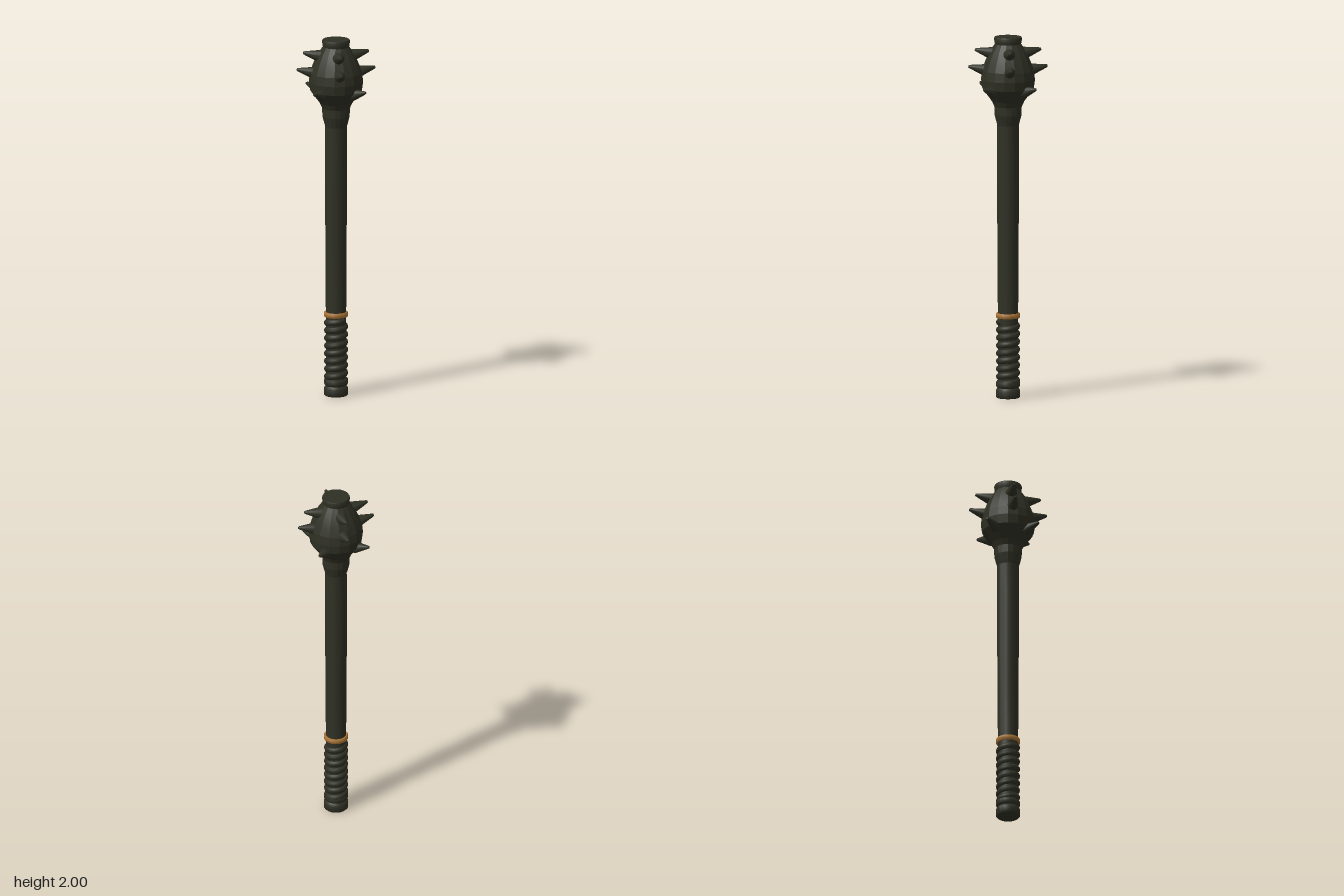
import * as THREE from 'three';
import { toCreasedNormals } from 'three/addons/utils/BufferGeometryUtils.js';

export function createModel() {
  const model = new THREE.Group();
  const iron = new THREE.MeshStandardMaterial({ color: 0x2f3024 });
  iron.name = 'darkIron';
  const brass = new THREE.MeshStandardMaterial({ color: 0xa87435 });
  brass.name = 'brass';

  const add = (name, geometry, material = iron, parent = model) => {
    const mesh = new THREE.Mesh(geometry, material);
    mesh.name = name;
    parent.add(mesh);
    return mesh;
  };
  // Turned part from [radius, height] pairs listed from bottom to top
  const turned = (points, sides, crease) => toCreasedNormals(
    new THREE.LatheGeometry(points.map(([r, y]) => new THREE.Vector2(r, y)), sides, Math.PI / sides), crease);

  // Faceted head with a socket below and a flat cap on top
  add('head', turned([
    [0, 1.5], [0.056, 1.5], [0.066, 1.535], [0.075, 1.57], [0.076, 1.615], [0.09, 1.645],
    [0.142, 1.715], [0.149, 1.765], [0.143, 1.815], [0.126, 1.865], [0.1, 1.92], [0.07, 1.965],
  ], 16, 0.2));
  add('headCap', turned([
    [0.068, 1.95], [0.075, 1.972], [0.076, 1.994], [0.073, 2], [0, 2],
  ], 32, 0.7));

  // Long shaft
  add('shaft', turned([
    [0.056, 0.44], [0.057, 0.8], [0.06, 1.05], [0.06, 1.3], [0.059, 1.512], [0, 1.512],
  ], 24, 0.7));

  // Blunt spikes: one tier on the axes, two tiers on the diagonals
  const spikes = new THREE.Group();
  spikes.name = 'spikes';
  model.add(spikes);
  const tiers = [
    { base: [0.115, 1.705], tip: [0.203, 1.728], radius: 0.034, turn: 0 },
    { base: [0.115, 1.815], tip: [0.217, 1.839], radius: 0.036, turn: Math.PI / 4 },
    { base: [0.085, 1.909], tip: [0.182, 1.932], radius: 0.036, turn: Math.PI / 4 },
  ];
  const up = new THREE.Vector3(0, 1, 0);
  for (const { base, tip, radius, turn } of tiers) {
    const length = Math.hypot(tip[0] - base[0], tip[1] - base[1]);
    const geometry = turned([
      [0, 0], [radius, 0], [0.009, length - 0.005], [0.006, length], [0, length],
    ], 16, 0.7);
    for (let i = 0; i < 4; i++) {
      const angle = turn + i * Math.PI / 2;
      const at = ([r, y]) => new THREE.Vector3(r * Math.sin(angle), y, r * Math.cos(angle));
      const spike = add('spike', geometry, iron, spikes);
      spike.position.copy(at(base));
      spike.quaternion.setFromUnitVectors(up, at(tip).sub(at(base)).normalize());
    }
  }

  // Brass collar above the grip
  add('collar', turned([
    [0.054, 0.443], [0.063, 0.443], [0.067, 0.449], [0.067, 0.464], [0.063, 0.47], [0.054, 0.47],
  ], 32, 0.9), brass);

  // Grip core wound with a rising cord
  add('gripCore', new THREE.CylinderGeometry(0.056, 0.056, 0.42, 24).translate(0, 0.235, 0));
  const turns = 8;
  const path = [];
  for (let i = 0; i <= turns * 16; i++) {
    const a = i / 16 * Math.PI * 2;
    path.push(new THREE.Vector3(0.047 * Math.sin(a), 0.08 + 0.345 * i / (turns * 16), 0.047 * Math.cos(a)));
  }
  add('gripCord', new THREE.TubeGeometry(new THREE.CatmullRomCurve3(path), turns * 24, 0.0195, 10));

  // Pommel with a ring above a shallow groove
  add('pommel', turned([
    [0, 0], [0.06, 0], [0.066, 0.006], [0.067, 0.04], [0.062, 0.05], [0.057, 0.056],
    [0.062, 0.06], [0.066, 0.068], [0.066, 0.086], [0.061, 0.094], [0.05, 0.096],
  ], 32, 0.9));

  return model;
}
